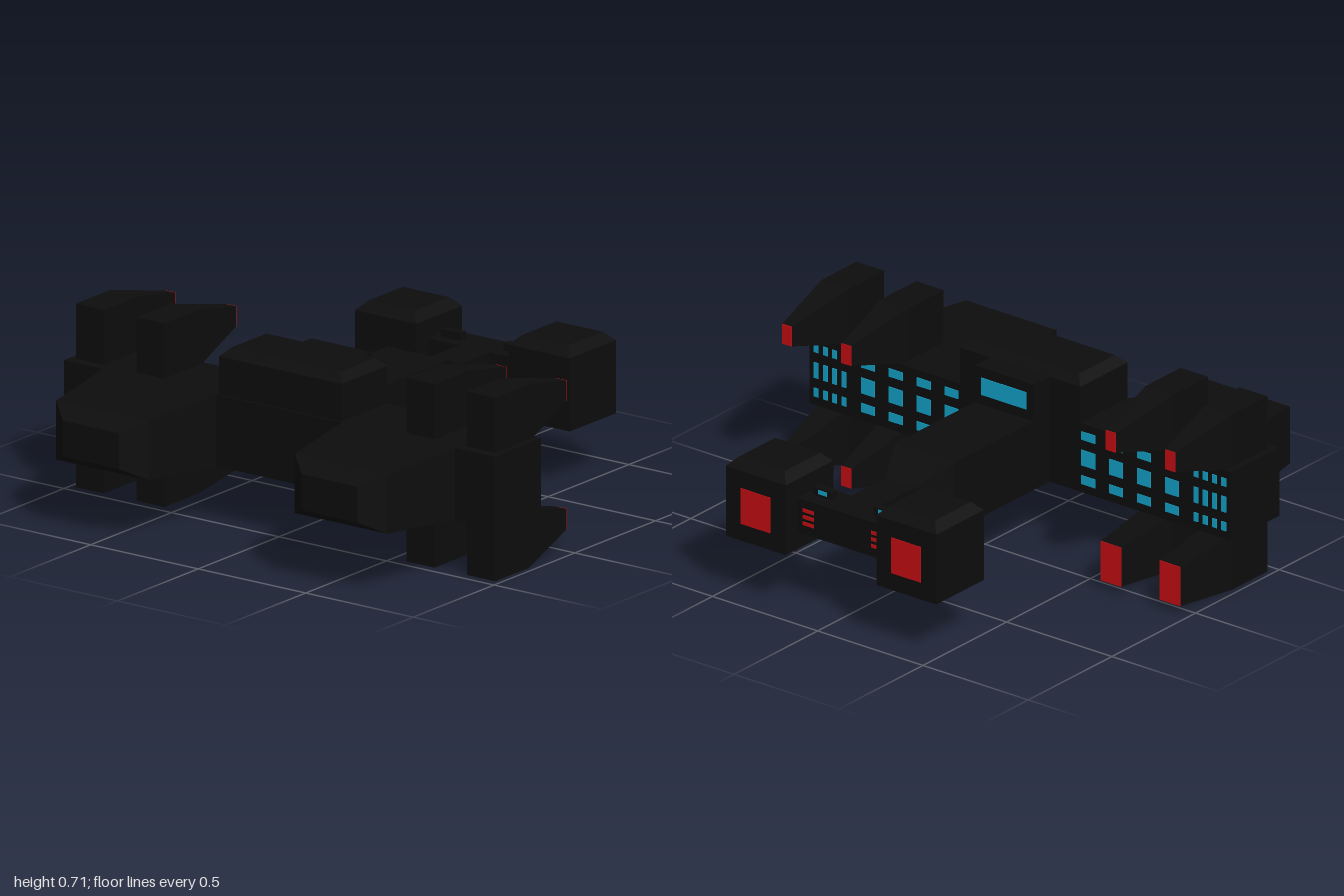
import * as THREE from 'three';

const dark = new THREE.MeshStandardMaterial({ color: 0x0d0d0d });
const red = new THREE.MeshStandardMaterial({ color: 0xcc0f14 });
const cyan = new THREE.MeshStandardMaterial({ color: 0x12a8d0 });

// Faceted solid through rectangles [t, uMin, uMax, vMin, vMax].
// Axis 'x': (t, u, v) = (x, y, z); axis 'y': (t, u, v) = (y, z, x).
function loft(name, axis, sections) {
  const rings = sections.map(([t, u0, u1, v0, v1]) =>
    [[u0, v0], [u1, v0], [u1, v1], [u0, v1]].map(([u, v]) => (axis === 'x' ? [t, u, v] : [v, t, u])));
  const pos = [];
  const quad = (a, b, c, d) => pos.push(...a, ...b, ...c, ...a, ...c, ...d);
  for (let i = 0; i < rings.length - 1; i++) {
    for (let k = 0; k < 4; k++) {
      const n = (k + 1) % 4;
      quad(rings[i][k], rings[i][n], rings[i + 1][n], rings[i + 1][k]);
    }
  }
  const [first, last] = [rings[0], rings[rings.length - 1]];
  quad(first[3], first[2], first[1], first[0]);
  quad(last[0], last[1], last[2], last[3]);
  const geo = new THREE.BufferGeometry();
  geo.setAttribute('position', new THREE.Float32BufferAttribute(pos, 3));
  geo.computeVertexNormals();
  const mesh = new THREE.Mesh(geo, dark);
  mesh.name = name;
  return mesh;
}

// Box by its limits
function block(name, x0, x1, y0, y1, z0, z1, material = dark) {
  const mesh = new THREE.Mesh(new THREE.BoxGeometry(x1 - x0, y1 - y0, z1 - z0), material);
  mesh.position.set((x0 + x1) / 2, (y0 + y1) / 2, (z0 + z1) / 2);
  mesh.name = name;
  return mesh;
}

// Thin coloured panel on a face that looks toward +x
const panel = (name, x, y, z, h, w, material) =>
  block(name, x - 0.004, x + 0.003, y - h / 2, y + h / 2, z - w / 2, z + w / 2, material);

// Box whose top edges are chamfered by c
const chamferedBlock = (name, x0, x1, y0, y1, z0, z1, c) => loft(name, 'y', [
  [y0, z0, z1, x0, x1],
  [y1 - c, z0, z1, x0, x1],
  [y1, z0 + c, z1 - c, x0 + c, x1 - c],
]);

// Cannon: straight body that tapers toward its coloured muzzle
function cannon(name, z, y0, y1, tipY, tipH, tipW) {
  const g = new THREE.Group();
  g.name = name;
  const w = 0.065;
  g.add(loft('cannonBody', 'x', [
    [-0.46, y0, y1, z - w, z + w],
    [-0.25, y0, y1, z - w, z + w],
    [0.037, tipY - tipH / 2, tipY + tipH / 2, z - tipW / 2, z + tipW / 2],
  ]));
  g.add(panel('muzzle', 0.037, tipY, z, tipH, tipW, red));
  return g;
}

export function createModel() {
  const ship = new THREE.Group();
  ship.name = 'spaceship';

  // Cross hull and neck
  ship.add(block('crossHull', -0.5, -0.21, 0.22, 0.5, -1, 1));
  ship.add(loft('neck', 'x', [
    [-0.22, 0.22, 0.5, -0.14, 0.14],
    [0.36, 0.22, 0.5, -0.14, 0.14],
    [0.505, 0.29, 0.43, -0.07, 0.07],
    [0.72, 0.29, 0.43, -0.07, 0.07],
  ]));

  // Bridge
  ship.add(chamferedBlock('bridge', -0.492, -0.21, 0.49, 0.68, -0.285, 0.285, 0.033));
  ship.add(block('bridgeFront', -0.22, -0.113, 0.49, 0.65, -0.14, 0.14));
  ship.add(panel('bridgeWindow', -0.113, 0.575, 0, 0.07, 0.215, cyan));

  // Front crossbar
  ship.add(block('crossbar', 0.71, 0.85, 0.29, 0.43, -0.23, 0.23));

  for (const s of [1, -1]) {
    // Front pods with their red panels
    const [za, zb] = s > 0 ? [0.215, 0.5] : [-0.5, -0.215];
    ship.add(chamferedBlock('frontPod', 0.635, 0.92, 0.22, 0.54, za, zb, 0.035));
    ship.add(panel('podPanel', 0.92, 0.362, s * 0.358, 0.145, 0.14, red));

    // Crossbar details
    ship.add(block('crossbarBox', 0.755, 0.79, 0.42, 0.46, s * 0.145 - 0.045, s * 0.145 + 0.045));
    ship.add(panel('crossbarLight', 0.79, 0.447, s * 0.143, 0.016, 0.042, cyan));
    for (let i = 0; i < 3; i++) {
      ship.add(panel('crossbarStripe', 0.85, 0.334 + i * 0.027, s * 0.162, 0.014, 0.053, red));
    }

    // Engines
    const ez = s * 0.555;
    ship.add(loft('engine', 'x', [
      [-0.925, 0.29, 0.43, ez - 0.13, ez + 0.13],
      [-0.855, 0.245, 0.475, ez - 0.215, ez + 0.215],
      [-0.49, 0.22, 0.5, ez - 0.265, ez + 0.265],
    ]));

    // Cannons; the lower right pair has wide muzzles
    for (const z of [0.628, 0.91]) {
      ship.add(cannon('upperCannon', s * z, 0.49, 0.715, 0.61, 0.08, 0.047));
      const [h, w] = s > 0 ? [0.08, 0.047] : [0.16, 0.097];
      ship.add(cannon('lowerCannon', s * z, 0, 0.225, 0.11, h, w));
    }

    // Hull windows: three rows of wide and narrow panes
    const columns = [[0.325, 0.065], [0.457, 0.065], [0.59, 0.065], [0.722, 0.065],
      [0.836, 0.022], [0.88, 0.022], [0.924, 0.022], [0.968, 0.022]];
    for (const [y, h] of [[0.452, 0.034], [0.362, 0.064], [0.272, 0.036]]) {
      for (const [z, w] of columns) ship.add(panel('hullWindow', -0.21, y, s * z, h, w, cyan));
    }
  }
  return ship;
}
